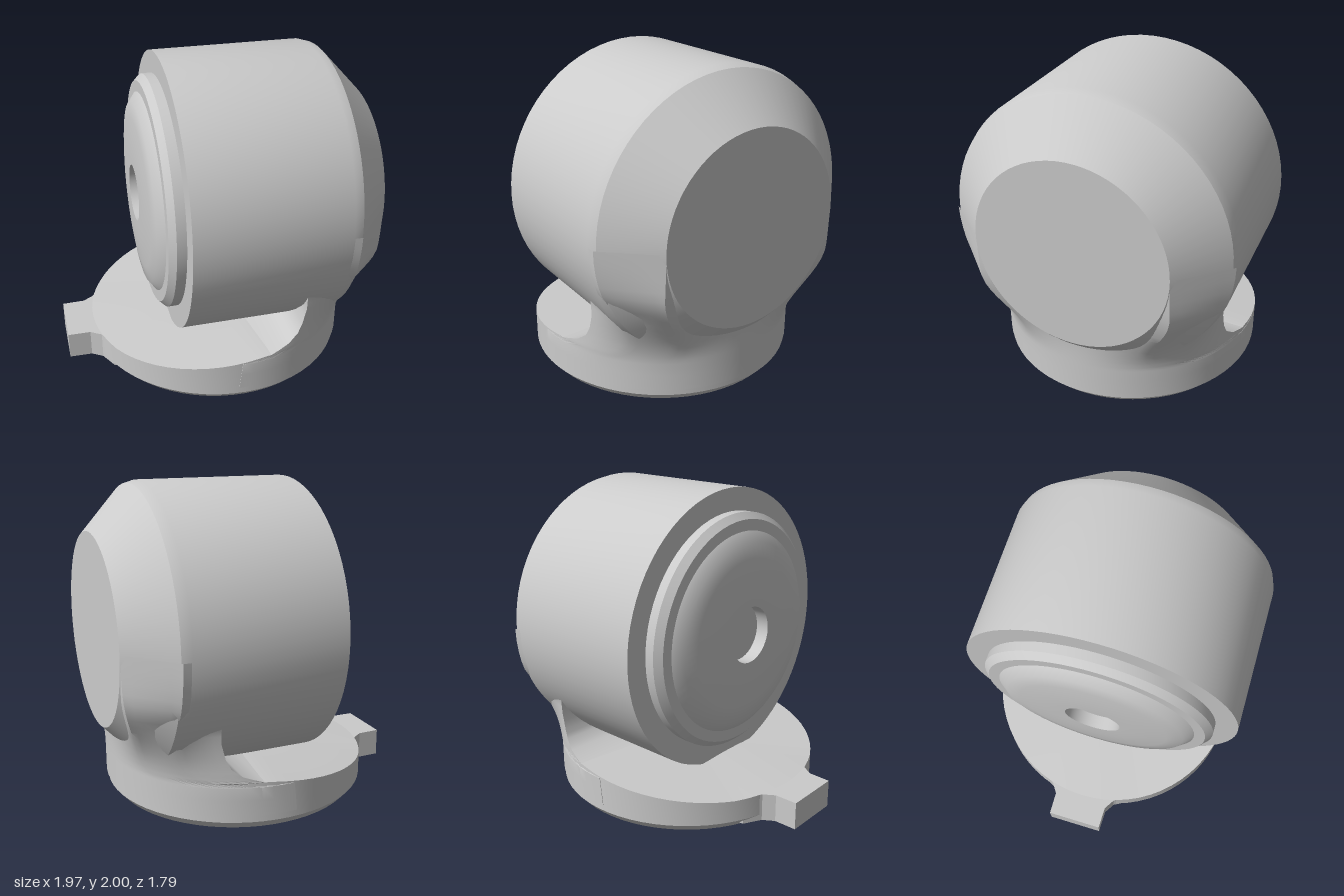
import * as THREE from 'three';
import { toCreasedNormals } from 'three/addons/utils/BufferGeometryUtils.js';

const R = 0.893, CY = 1.107;              // drum radius and axis height
const BX = 0.05, BRX = 0.86, BRZ = 0.85;  // base centre and radii
const material = new THREE.MeshStandardMaterial({ color: 0xcccccc });

function part(name, geometry, crease = 0.5) {
  const mesh = new THREE.Mesh(toCreasedNormals(geometry, crease), material);
  mesh.name = name;
  return mesh;
}

const lathe = (points, segments) =>
  new THREE.LatheGeometry(points.map(([r, h]) => new THREE.Vector2(r, h)), segments);

// Piecewise linear lookup in a short list of [key, value, ...] rows
function lookup(rows, key, column = 1) {
  if (key <= rows[0][0]) return rows[0][column];
  for (let i = 1; i < rows.length; i++) {
    const a = rows[i - 1], b = rows[i];
    if (key <= b[0]) return THREE.MathUtils.mapLinear(key, a[0], b[0], a[column], b[column]);
  }
  return rows[rows.length - 1][column];
}

// Horizontal drum with stepped face, round recess and chamfered rear
function makeDrum() {
  const g = lathe([
    [0, -0.39], [0.18, -0.39], [0.18, -0.475], [0.3, -0.475], [0.48, -0.46], [0.58, -0.445],
    [0.64, -0.4], [0.71, -0.4], [0.75, -0.36], [0.75, -0.3], [R, -0.3],
    [R, 0.66], [0.875, 0.72], [0.6, 0.98], [0, 0.98],
  ], 72);
  g.rotateZ(-Math.PI / 2);
  g.translate(0, CY, 0);
  return part('drum', g);
}

// Round foot with a bevelled underside and a gently sloping top
function makeBase() {
  const g = lathe([[0, 0.005], [0.8, 0.005], [0.848, 0.06], [0.848, 0.25], [0, 0.25]], 64);
  g.translate(BX, 0, 0);
  const p = g.attributes.position;
  for (let i = 0; i < p.count; i++) {
    if (p.getY(i) > 0.2) p.setY(i, THREE.MathUtils.clamp(0.2 + 0.125 * (p.getX(i) + 0.7), 0.2, 0.31));
  }
  return part('base', g);
}

// Flared tab at the edge of the foot
function makeTab() {
  const half = [[-0.985, 0.182], [-0.84, 0.185], [-0.77, 0.23], [-0.71, 0.34], [-0.5, 0.4]];
  const outline = [...half, ...half.map(([x, z]) => [x, -z]).reverse()];
  const shape = new THREE.Shape(outline.map(([x, z]) => new THREE.Vector2(x, z)).reverse());
  const g = new THREE.ExtrudeGeometry(shape, { depth: 0.18, bevelEnabled: false });
  g.rotateX(-Math.PI / 2);
  g.translate(0, 0.02, 0);
  return part('tab', g);
}

// Neck lofted from the round foot up to the chamfered rear of the drum
function makeNeck() {
  // height, front x, back x
  const profile = [
    [0.1, 0.0, 0.91], [0.28, 0.02, 0.912], [0.31, 0.21, 0.915], [0.35, 0.33, 0.92], [0.4, 0.395, 0.925],
    [0.46, 0.425, 0.932], [0.56, 0.45, 0.945], [0.66, 0.45, 0.955], [0.9, 0.45, 0.974], [1.11, 0.45, 0.979],
  ];
  const heights = [0.1, 0.2, 0.28, 0.31, 0.33, 0.35, 0.375, 0.4, 0.43, 0.46, 0.51, 0.56, 0.61,
    0.66, 0.71, 0.76, 0.82, 0.88, 0.95, 1.03, 1.11];
  const half = 20, columns = 2 * half + 1;
  const positions = [], index = [];
  for (const y of heights) {
    const xf = lookup(profile, y), xb = lookup(profile, y, 2);
    const blend = THREE.MathUtils.smoothstep(y, 0.27, 0.85);
    const width = y > 0.66 ? Math.sqrt(R * R - (y - CY) ** 2) - 0.002 : 0.775;
    const a0 = Math.acos((xf - BX) / BRX);
    const chamfer = [[0, xf, width], [0.3, 0.715, width], [0.6, xb, 0.6], [1, xb, 0]];
    for (let j = 0; j < columns; j++) {
      const s = 1 - Math.abs(j - half) / half, side = j <= half ? 1 : -1;
      const a = a0 * (1 - s);
      const x = THREE.MathUtils.lerp(BX + BRX * Math.cos(a), lookup(chamfer, s, 1), blend);
      const z = THREE.MathUtils.lerp(BRZ * Math.sin(a), lookup(chamfer, s, 2), blend);
      positions.push(x, y, side * z);
    }
  }
  for (let i = 0; i < heights.length - 1; i++) {
    for (let j = 0; j < columns; j++) {
      const k = (j + 1) % columns;
      const a = i * columns + j, b = i * columns + k, c = a + columns, d = b + columns;
      index.push(a, b, c, b, d, c);
    }
  }
  const g = new THREE.BufferGeometry();
  g.setAttribute('position', new THREE.Float32BufferAttribute(positions, 3));
  g.setIndex(index);
  return part('neck', g, 0.6);
}

export function createModel() {
  const group = new THREE.Group();
  group.name = 'drumOnFoot';
  group.add(makeDrum(), makeBase(), makeTab(), makeNeck());
  return group;
}
